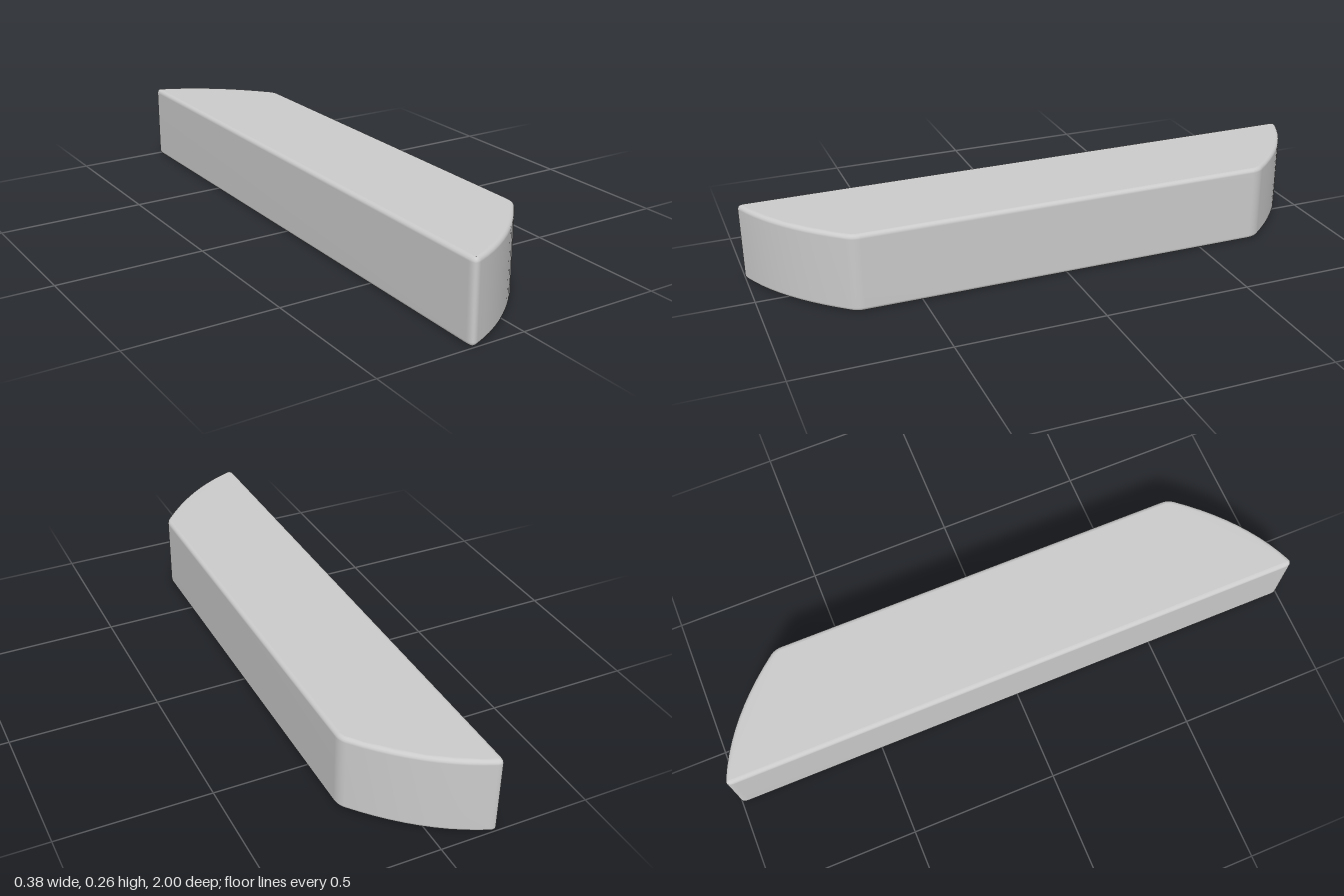
import * as THREE from 'three';
import { mergeVertices } from 'three/addons/utils/BufferGeometryUtils.js';

const HEIGHT = 0.265;
const BEVEL = 0.014;

// Plan outline: long straight back, shorter front, bowed slanted ends, softened corners
function planOutline() {
  const s = new THREE.Shape();
  s.moveTo(0.19, -0.69);
  s.lineTo(0.19, 0.69);
  s.quadraticCurveTo(0.19, 0.714, 0.175, 0.733);
  s.quadraticCurveTo(0.02, 0.925, -0.165, 0.998);
  s.quadraticCurveTo(-0.19, 1.008, -0.19, 0.975);
  s.lineTo(-0.19, -0.975);
  s.quadraticCurveTo(-0.19, -1.008, -0.165, -0.998);
  s.quadraticCurveTo(0.02, -0.925, 0.175, -0.733);
  s.quadraticCurveTo(0.19, -0.714, 0.19, -0.69);
  return s;
}

export function createModel() {
  const group = new THREE.Group();
  group.name = 'bar';

  // Rounded slab, extruded upward from the plan
  let geo = new THREE.ExtrudeGeometry(planOutline(), {
    depth: HEIGHT - 2 * BEVEL,
    bevelEnabled: true,
    bevelThickness: BEVEL,
    bevelSize: BEVEL,
    bevelOffset: -BEVEL,
    bevelSegments: 4,
    curveSegments: 10,
  });
  geo.rotateX(-Math.PI / 2);
  geo.translate(0, BEVEL, 0);

  // Share vertices so the rounded edges shade smoothly
  geo.deleteAttribute('normal');
  geo.deleteAttribute('uv');
  geo = mergeVertices(geo, 1e-4);
  geo.computeVertexNormals();

  const body = new THREE.Mesh(geo, new THREE.MeshStandardMaterial({ color: 0xcccccc }));
  body.name = 'body';
  group.add(body);
  return group;
}
